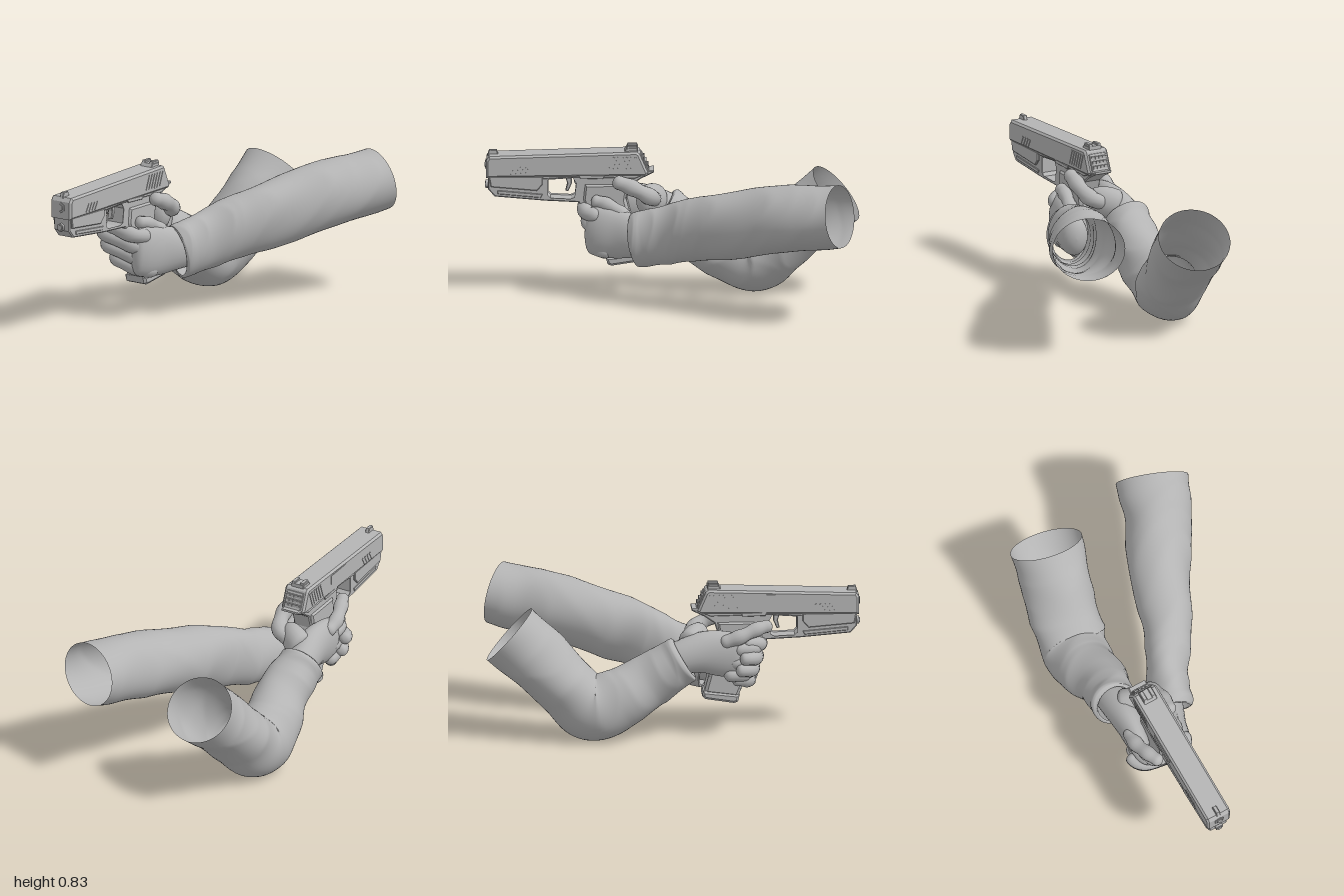
import * as THREE from 'three';

const grey = new THREE.MeshStandardMaterial({ color: 0xb4b4b4, side: THREE.DoubleSide });

function add(parent, name, geometry, x = 0, y = 0, z = 0) {
  const m = new THREE.Mesh(geometry, grey);
  m.name = name;
  m.position.set(x, y, z);
  parent.add(m);
  return m;
}

// Smooth sweep through sections [x, y, z, half width, half height].
// round: closes both ends with domes; bump(u, angle): scales the radius.
function loft(sections, { rings = 24, sides = 16, round = 0, bump = () => 1 } = {}) {
  const path = new THREE.CatmullRomCurve3(sections.map(s => new THREE.Vector3(s[0], s[1], s[2])));
  const radii = new THREE.CatmullRomCurve3(sections.map(s => new THREE.Vector3(s[3], s[4], 0)), false, 'catmullrom');
  const up = new THREE.Vector3(0, 1, 0);
  const pos = [], idx = [];
  for (let i = 0; i <= rings; i++) {
    // ends get denser rings when domed
    const u = round ? (1 - Math.cos(Math.PI * i / rings)) / 2 : i / rings;
    const p = path.getPoint(u), t = path.getTangent(u), r = radii.getPoint(u);
    const side = new THREE.Vector3().crossVectors(up, t).normalize();
    const top = new THREE.Vector3().crossVectors(t, side);
    const e = Math.min(u, 1 - u);
    const dome = round && e < round ? Math.sqrt(Math.max(0, 1 - (1 - e / round) ** 2)) : 1;
    for (let j = 0; j < sides; j++) {
      const a = j / sides * Math.PI * 2, k = dome * bump(u, a);
      const v = p.clone()
        .addScaledVector(side, Math.cos(a) * r.x * k)
        .addScaledVector(top, Math.sin(a) * r.y * k);
      pos.push(v.x, v.y, v.z);
      if (i < rings) {
        const n = (j + 1) % sides, q = i * sides;
        idx.push(q + j, q + n, q + sides + j, q + n, q + sides + n, q + sides + j);
      }
    }
  }
  const g = new THREE.BufferGeometry();
  g.setAttribute('position', new THREE.Float32BufferAttribute(pos, 3));
  g.setIndex(idx);
  g.computeVertexNormals();
  return g;
}

// Cloth folds: diagonal creases, sharp in the valleys, that come and go round the sleeve
const folds = seed => (u, a) => {
  const fade = Math.min(1, u * 7, (1 - u) * 9 + 0.2);
  const f1 = 1 - 2 * Math.abs(Math.sin(10 * u + 1.1 * Math.sin(a + seed) + seed));
  const f2 = 1 - 2 * Math.abs(Math.sin(21 * u + 1.6 * Math.cos(a - seed) + 0.6 * Math.sin(2 * a)));
  const f3 = Math.sin(3 * a + 14 * u + seed);
  return 1 + fade * (0.03 * f1 + 0.03 * f2 * (0.6 + 0.4 * Math.sin(a * 2 + seed)) + 0.02 * f3);
};

// Finger whose radius swells at the joints
function finger(parent, name, pts, r) {
  const s = pts.map((p, i) => {
    const k = r * (1.08 - 0.035 * i);
    return [...p, k, k];
  });
  add(parent, name, loft(s, {
    rings: 32, sides: 14, round: 0.13,
    bump: u => 1 + 0.08 * Math.cos(u * Math.PI * 6),
  }));
}

// Side profile of [z, y] points extruded across x with chamfered edges
function slab(points, width, bevel = 0.01, hole) {
  const shape = new THREE.Shape(points.map(p => new THREE.Vector2(p[0], p[1])));
  if (hole) shape.holes.push(new THREE.Path(hole.map(p => new THREE.Vector2(p[0], p[1]))));
  const depth = width - 2 * bevel;
  const g = new THREE.ExtrudeGeometry(shape, {
    depth, bevelThickness: bevel, bevelSize: bevel, bevelOffset: -bevel, bevelSegments: 1,
  });
  g.translate(0, 0, -depth / 2);
  g.rotateY(-Math.PI / 2);
  return g;
}

function buildPistol() {
  const pistol = new THREE.Group();
  pistol.name = 'pistol';
  const body = new THREE.Group();
  body.name = 'pistolBody';
  body.position.z = -0.56;
  pistol.add(body);
  pistol.position.set(-0.25, 0, 0.56);
  pistol.rotation.y = 0.023;

  add(body, 'slide', slab([[0.99, 0.66], [0.99, 0.755], [0.975, 0.777], [0.19, 0.805], [0.175, 0.795],
    [0.13, 0.69], [0.14, 0.675]], 0.14, 0.011));
  add(body, 'frame', slab([[0.98, 0.68], [0.98, 0.595], [0.945, 0.555], [0.68, 0.533], [0.5, 0.525], [0.45, 0.46],
    [0.345, 0.21], [0.165, 0.235], [0.245, 0.54], [0.22, 0.62], [0.17, 0.655], [0.1, 0.69], [0.1, 0.702], [0.2, 0.7]],
  0.106, 0.006, [[0.667, 0.655], [0.667, 0.56], [0.65, 0.543], [0.54, 0.538], [0.515, 0.55], [0.505, 0.63], [0.525, 0.665]]));
  add(body, 'gripShell', slab([[0.48, 0.54], [0.44, 0.44], [0.345, 0.21], [0.165, 0.235], [0.245, 0.54], [0.23, 0.63],
    [0.47, 0.63]], 0.126, 0.016));
  add(body, 'magazineBase', slab([[0.355, 0.225], [0.345, 0.188], [0.325, 0.18], [0.17, 0.205], [0.155, 0.222],
    [0.16, 0.25]], 0.14, 0.012));
  add(body, 'trigger', slab([[0.575, 0.67], [0.56, 0.62], [0.57, 0.58], [0.555, 0.575], [0.535, 0.62], [0.535, 0.67]], 0.03, 0.004));

  // Sights
  add(body, 'frontSight', slab([[0.985, 0.77], [0.975, 0.802], [0.935, 0.802], [0.925, 0.77]], 0.022, 0.003));
  add(body, 'rearSightBase', slab([[0.26, 0.795], [0.245, 0.82], [0.185, 0.822], [0.185, 0.795]], 0.076, 0.003));
  for (const s of [-1, 1]) {
    add(body, 'rearSightPost', slab([[0.25, 0.81], [0.24, 0.832], [0.19, 0.832], [0.185, 0.81]], 0.022, 0.003), s * 0.025);
  }

  // Muzzle face: barrel and guide-rod hexagons
  for (const [y, r] of [[0.722, 0.03], [0.612, 0.023]]) {
    add(body, 'muzzleHex', new THREE.CylinderGeometry(r, r, 0.016, 6).rotateX(Math.PI / 2), 0, y, 0.985);
    add(body, 'muzzleBore', new THREE.CylinderGeometry(r * 0.65, r * 0.65, 0.006, 6).rotateX(Math.PI / 2), 0, y, 0.995);
  }

  for (const s of [-1, 1]) {
    // Slanted gripping ribs at both ends of the slide
    for (let i = 0; i < 6; i++) {
      const rib = add(body, 'slideRib', new THREE.BoxGeometry(0.006, 0.085, 0.009), s * 0.07, 0.738, 0.21 + i * 0.023);
      rib.rotation.x = -0.35;
    }
    for (let i = 0; i < 4; i++) {
      const rib = add(body, 'slideRib', new THREE.BoxGeometry(0.006, 0.05, 0.009), s * 0.07, 0.7, 0.77 + i * 0.025);
      rib.rotation.x = -0.5;
    }
    add(body, 'dustCoverPanel', slab([[0.975, 0.668], [0.965, 0.61], [0.72, 0.59], [0.69, 0.625], [0.69, 0.668]], 0.016, 0.004), s * 0.056);
    add(body, 'lowerRail', slab([[0.93, 0.59], [0.93, 0.57], [0.7, 0.55], [0.69, 0.57]], 0.01, 0.003), s * 0.052);
    add(body, 'frameRail', slab([[0.69, 0.675], [0.69, 0.655], [0.52, 0.665], [0.2, 0.66], [0.14, 0.685]], 0.014, 0.003), s * 0.055);
    add(body, 'slideStop', slab([[0.5, 0.68], [0.49, 0.66], [0.37, 0.657], [0.36, 0.675]], 0.01, 0.002), s * 0.063);
  }
  add(body, 'ejectionPort', new THREE.BoxGeometry(0.006, 0.05, 0.16), -0.07, 0.752, 0.5);
  // Rear plate with a grid of studs
  add(body, 'rearPlate', slab([[0.185, 0.785], [0.165, 0.785], [0.125, 0.7], [0.145, 0.7]], 0.1, 0.003));
  for (let i = 0; i < 4; i++) {
    for (let j = 0; j < 3; j++) {
      add(body, 'rearStud', new THREE.BoxGeometry(0.017, 0.016, 0.012), -0.033 + i * 0.022, 0.72 + j * 0.023, 0.135 + j * 0.011);
    }
  }
  return pistol;
}

function buildLeftArm() {
  const arm = new THREE.Group();
  arm.name = 'leftArm';
  add(arm, 'leftSleeve', loft([
    [0.375, 0.613, -0.912, 0.195, 0.166], [0.315, 0.583, -0.745, 0.184, 0.176], [0.2, 0.54, -0.5, 0.17, 0.182],
    [0.1, 0.478, -0.24, 0.14, 0.178], [0.03, 0.434, -0.1, 0.124, 0.168], [-0.03, 0.397, 0.02, 0.112, 0.158],
    [-0.07, 0.368, 0.12, 0.114, 0.153], [-0.092, 0.35, 0.185, 0.112, 0.148], [-0.094, 0.349, 0.19, 0.095, 0.13],
  ], { rings: 110, sides: 52, bump: folds(0.7) }));

  // Hand wrapped over the front of the grip
  const hand = new THREE.Group();
  hand.name = 'leftHand';
  arm.add(hand);
  add(hand, 'leftPalm', loft([
    [-0.08, 0.36, 0.06, 0.07, 0.1], [-0.11, 0.365, 0.18, 0.076, 0.115], [-0.14, 0.37, 0.29, 0.068, 0.135],
    [-0.155, 0.38, 0.39, 0.058, 0.138], [-0.18, 0.385, 0.46, 0.045, 0.12],
  ], { rings: 30, sides: 24, round: 0.12 }));
  const tips = [-0.385, -0.445, -0.435, -0.38];
  tips.forEach((x, i) => {
    const y = 0.475 - i * 0.066, z = 0.463 - i * 0.02;
    finger(hand, 'leftFinger', [
      [-0.13, y - 0.005, z - 0.085], [-0.16, y, z - 0.015], [-0.235, y + 0.015, z + 0.004],
      [(x - 0.24) / 2 - 0.02, y + 0.035, z - 0.002], [x + 0.015, y + 0.045, z - 0.04], [x + 0.005, y + 0.047, z - 0.09],
    ], 0.039);
  });
  finger(hand, 'leftThumb', [[-0.135, 0.42, 0.2], [-0.15, 0.48, 0.27], [-0.165, 0.525, 0.35], [-0.175, 0.545, 0.43]], 0.036);
  return arm;
}

function buildRightArm() {
  const arm = new THREE.Group();
  arm.name = 'rightArm';
  add(arm, 'rightSleeve', loft([
    [-0.287, 0.565, -0.868, 0.198, 0.18], [-0.308, 0.435, -0.722, 0.19, 0.174], [-0.342, 0.28, -0.56, 0.187, 0.168],
    [-0.365, 0.182, -0.425, 0.182, 0.175], [-0.368, 0.225, -0.28, 0.166, 0.165], [-0.352, 0.32, -0.13, 0.142, 0.147],
    [-0.363, 0.405, 0.0, 0.126, 0.133], [-0.368, 0.44, 0.055, 0.124, 0.132], [-0.368, 0.443, 0.06, 0.1, 0.11],
  ], { rings: 110, sides: 52, bump: folds(2.3) }));

  // Hand gripping the pistol from behind
  const hand = new THREE.Group();
  hand.name = 'rightHand';
  arm.add(hand);
  add(hand, 'rightPalm', loft([
    [-0.375, 0.41, -0.04, 0.08, 0.085], [-0.37, 0.455, 0.06, 0.082, 0.095], [-0.36, 0.475, 0.17, 0.08, 0.115],
    [-0.365, 0.465, 0.28, 0.065, 0.125], [-0.375, 0.455, 0.38, 0.05, 0.11],
  ], { rings: 30, sides: 24, round: 0.12 }));
  add(hand, 'thumbWeb', loft([
    [-0.36, 0.5, 0.08, 0.07, 0.08], [-0.28, 0.525, 0.12, 0.065, 0.085], [-0.21, 0.525, 0.17, 0.045, 0.07],
  ], { rings: 20, sides: 18, round: 0.2 }));
  for (let i = 0; i < 3; i++) {
    const y = 0.495 - i * 0.07, z = 0.44 - i * 0.025;
    finger(hand, 'rightFinger', [
      [-0.395, y, z - 0.12], [-0.385, y, z - 0.03], [-0.33, y, z + 0.005], [-0.25, y, z], [-0.19, y, z - 0.05],
    ], 0.036);
  }
  finger(hand, 'rightIndexFinger', [
    [-0.395, 0.53, 0.25], [-0.4, 0.565, 0.35], [-0.375, 0.6, 0.44], [-0.338, 0.615, 0.525],
  ], 0.037);
  finger(hand, 'rightThumb', [
    [-0.27, 0.53, 0.1], [-0.2, 0.555, 0.11], [-0.168, 0.595, 0.17], [-0.162, 0.63, 0.24], [-0.165, 0.655, 0.315],
  ], 0.042);
  return arm;
}

export function createModel() {
  const model = new THREE.Group();
  model.name = 'armsHoldingPistol';
  model.add(buildPistol(), buildLeftArm(), buildRightArm());
  return model;
}
